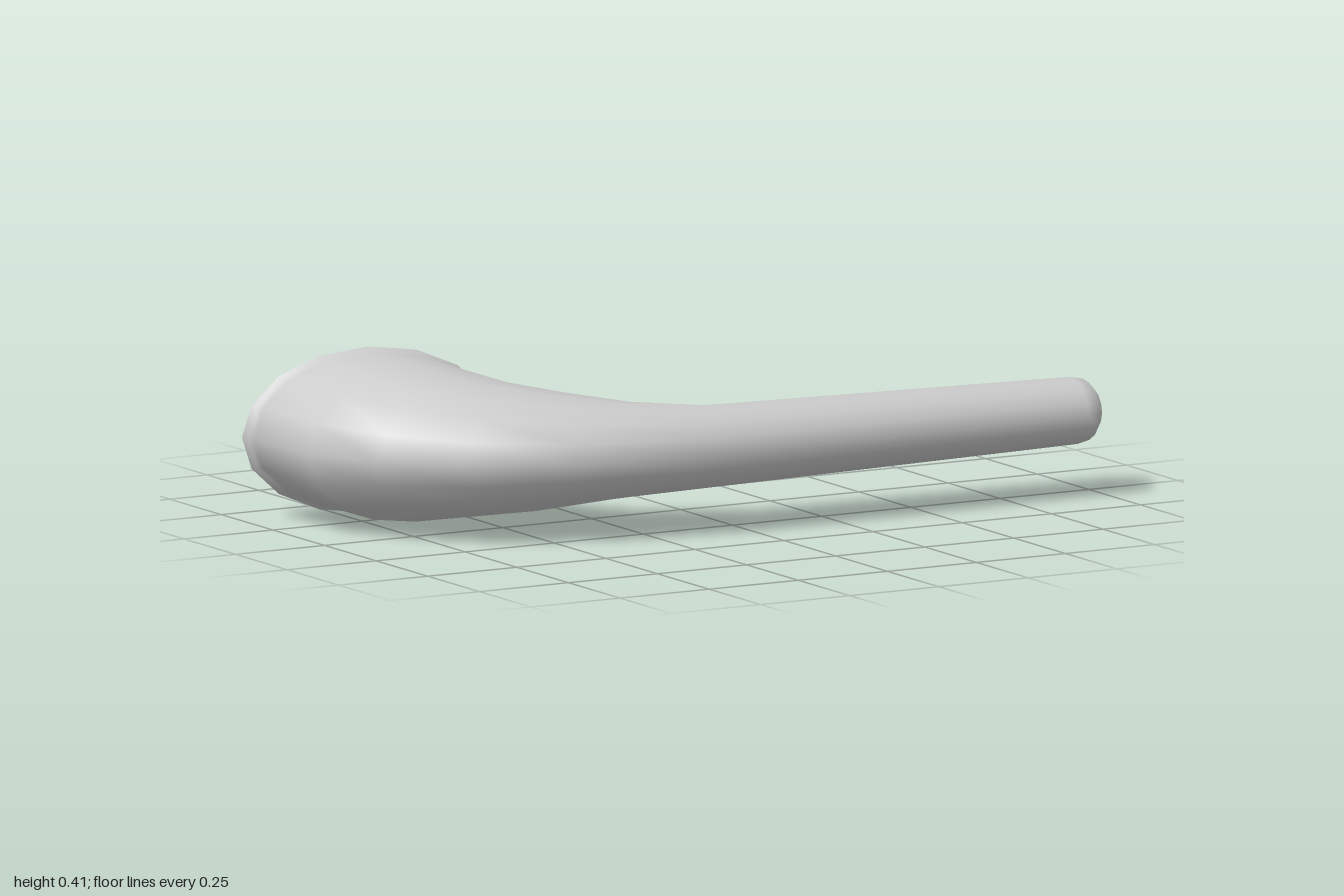
import * as THREE from 'three';

const SIDES = 16;
const MID_Y = 0.21;

// Each section: outer bend point (x, z), inner bend point (x, z), half height
const bodySections = [
  [-1.0, -0.4, -0.355, -0.29, 0.205],    // rim of the bowl
  [-0.99, -0.385, -0.372, -0.283, 0.197],
  [-0.983, -0.37, -0.38, -0.27, 0.193],  // neck below the lip
  [-0.975, -0.12, -0.38, -0.12, 0.193],
  [-0.885, 0.065, -0.315, -0.02, 0.166],
  [-0.74, 0.225, -0.23, 0.045, 0.145],
  [-0.5, 0.335, -0.13, 0.1, 0.118],
  [-0.11, 0.395, -0.04, 0.15, 0.1],      // start of the straight stem
  [0.93, 0.374, 0.93, 0.186, 0.083],
  [0.965, 0.364, 0.965, 0.196, 0.076],   // rounded tip
  [0.985, 0.34, 0.985, 0.22, 0.055],
  [0.997, 0.31, 0.997, 0.25, 0.028],
];

// Lofts elliptical sections into a smooth skin, closed at the far end by a pole
function loft(sections, pole) {
  const positions = [];
  const indices = [];
  for (const [ox, oz, ix, iz, h] of sections) {
    for (let j = 0; j < SIDES; j++) {
      const t = (j / SIDES) * Math.PI * 2;
      const c = Math.cos(t) / 2;
      positions.push(
        (ox + ix) / 2 + (ox - ix) * c,
        MID_Y + h * Math.sin(t),
        (oz + iz) / 2 + (oz - iz) * c
      );
    }
  }
  const last = sections.length - 1;
  const tip = sections.length * SIDES;
  positions.push(...pole);
  for (let i = 0; i <= last; i++) {
    for (let j = 0; j < SIDES; j++) {
      const k = (j + 1) % SIDES;
      const a = i * SIDES + j;
      const d = i * SIDES + k;
      if (i === last) indices.push(a, tip, d);
      else indices.push(a, a + SIDES, d, d, a + SIDES, d + SIDES);
    }
  }
  const geometry = new THREE.BufferGeometry();
  geometry.setAttribute('position', new THREE.Float32BufferAttribute(positions, 3));
  geometry.setIndex(indices);
  geometry.computeVertexNormals();
  return geometry;
}

export function createModel() {
  const group = new THREE.Group();
  group.name = 'pipe';
  const material = new THREE.MeshStandardMaterial({ color: 0xcccccc, side: THREE.DoubleSide });

  // Open bowl, bend and stem are one continuous thin shell
  const body = new THREE.Mesh(loft(bodySections, [1, MID_Y, 0.28]), material);
  body.name = 'bowlAndStem';
  group.add(body);
  return group;
}
